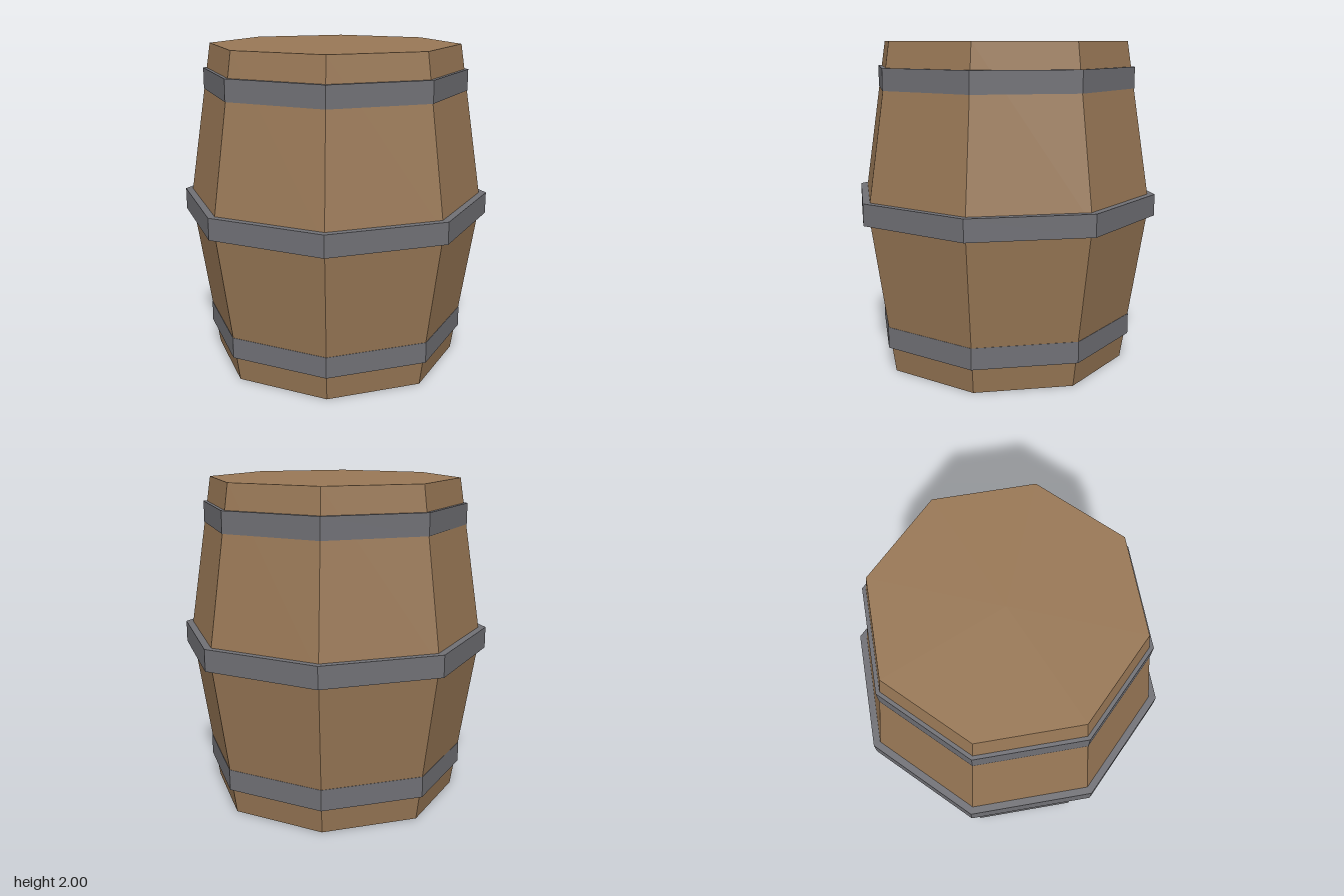
import * as THREE from 'three';

const SIDES = 8;
const END_RADIUS = 0.775;
const BELLY_RADIUS = 0.93;

const wood = new THREE.MeshStandardMaterial({ color: 0x997856 });
wood.name = 'wood';
const iron = new THREE.MeshStandardMaterial({ color: 0x707075 });
iron.name = 'iron';

// Eight-sided faceted solid of revolution from [radius, height] pairs
function facetedLathe(name, profile, material) {
  const points = profile.map(([r, y]) => new THREE.Vector2(r, y));
  const geometry = new THREE.LatheGeometry(points, SIDES).toNonIndexed();
  geometry.computeVertexNormals();
  const mesh = new THREE.Mesh(geometry, material);
  mesh.name = name;
  return mesh;
}

// Flat band with a rectangular section, inner face buried in the staves
function hoop(name, bottom, top, radius) {
  const inner = radius - 0.08;
  return facetedLathe(name, [
    [inner, bottom], [radius, bottom], [radius, top], [inner, top], [inner, bottom],
  ], iron);
}

// Octagonal end disc
function lid(name, y, tilt) {
  const mesh = new THREE.Mesh(new THREE.CircleGeometry(END_RADIUS, SIDES), wood);
  mesh.name = name;
  mesh.position.y = y;
  mesh.rotation.x = tilt;
  return mesh;
}

export function createModel() {
  const barrel = new THREE.Group();
  barrel.name = 'barrel';

  // Wooden body, widest at the middle
  barrel.add(facetedLathe('staves', [[END_RADIUS, 0], [BELLY_RADIUS, 1], [END_RADIUS, 2]], wood));
  barrel.add(lid('topLid', 2, -Math.PI / 2));
  barrel.add(lid('bottomLid', 0, Math.PI / 2));

  // Iron hoops
  barrel.add(hoop('lowerHoop', 0.157, 0.287, 0.822));
  barrel.add(hoop('middleHoop', 0.935, 1.068, 0.965));
  barrel.add(hoop('upperHoop', 1.717, 1.847, 0.822));

  return barrel;
}
